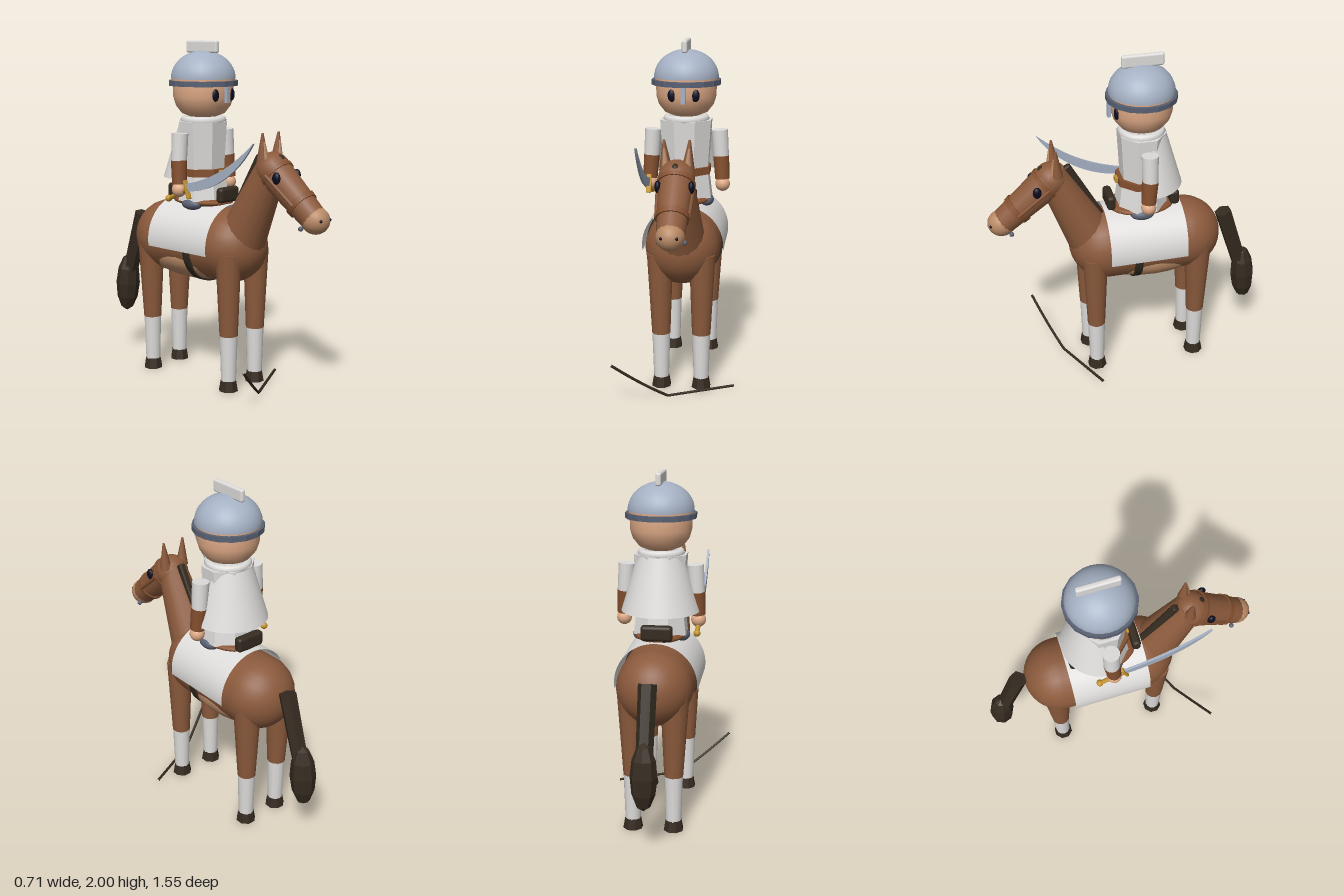
import * as THREE from 'three';
import { RoundedBoxGeometry } from 'three/addons/geometries/RoundedBoxGeometry.js';

const V = (x, y, z) => new THREE.Vector3(x, y, z);
const PI = Math.PI;

function material(name, color, side = THREE.FrontSide) {
  const m = new THREE.MeshStandardMaterial({ color, side });
  m.name = name;
  return m;
}

function flat(geo) {
  const g = geo.index ? geo.toNonIndexed() : geo;
  g.computeVertexNormals();
  return g;
}

function add(parent, name, geo, mat, x = 0, y = 0, z = 0) {
  const mesh = new THREE.Mesh(geo, mat);
  mesh.name = name;
  mesh.position.set(x, y, z);
  parent.add(mesh);
  return mesh;
}

function ball(parent, name, mat, p, rx, ry = rx, rz = rx) {
  const geo = new THREE.SphereGeometry(1, 20, 14).scale(rx, ry, rz);
  return add(parent, name, geo, mat, ...p);
}

// tapered cylinder running from a (radius ra) to b (radius rb)
function limb(parent, name, mat, a, b, ra, rb, sides = 16, faceted = false) {
  let geo = new THREE.CylinderGeometry(rb, ra, a.distanceTo(b), sides);
  if (faceted) geo = flat(geo.rotateY(PI / sides));
  const mesh = add(parent, name, geo, mat);
  mesh.position.lerpVectors(a, b, 0.5);
  mesh.quaternion.setFromUnitVectors(V(0, 1, 0), b.clone().sub(a).normalize());
  return mesh;
}

export function createModel() {
  const coat = material('chestnut coat', 0x8b5a3c);
  const dark = material('dark hair and hoof', 0x352b20);
  const white = material('white cloth', 0xdedddb, THREE.DoubleSide);
  const tan = material('pale tan', 0xb98a66);
  const skin = material('skin', 0xdfaa86);
  const steel = material('steel', 0xa5b1c4);
  const darkSteel = material('dark steel', 0x596173);
  const gold = material('brass', 0xc4932c);
  const black = material('eye black', 0x0c0d20);
  const leather = material('leather', 0x85502f);

  const model = new THREE.Group();
  model.name = 'mountedSoldier';
  const mount = new THREE.Group();
  mount.name = 'horseAndRider';
  mount.position.set(-0.045, 0, -0.085);
  mount.rotation.y = PI / 9;
  model.add(mount);
  const horse = new THREE.Group();
  horse.name = 'horse';
  const rider = new THREE.Group();
  rider.name = 'rider';
  mount.add(horse, rider);

  // barrel and belly
  add(horse, 'body', new THREE.CapsuleGeometry(0.215, 0.485, 10, 24).rotateX(PI / 2), coat, 0, 0.83, -0.025);
  ball(horse, 'belly', tan, [0, 0.742, -0.05], 0.2, 0.14, 0.38);

  // legs
  for (const s of [-1, 1]) for (const [end, z, top, r] of [['front', 0.303, 0.81, 0.076], ['hind', -0.32, 0.84, 0.084]]) {
    const x = s * 0.117;
    limb(horse, end + 'Leg', coat, V(x, 0.33, z), V(x * 1.04, top, z), 0.054, r, 12);
    limb(horse, end + 'Sock', white, V(x, 0.05, z), V(x, 0.335, z), 0.044, 0.053, 12);
    limb(horse, end + 'Hoof', dark, V(x, 0, z), V(x, 0.062, z), 0.058, 0.047, 8, true);
  }

  // neck, mane and tail
  limb(horse, 'neck', coat, V(0, 0.82, 0.27), V(0, 1.34, 0.53), 0.15, 0.085, 16);
  const mane = add(horse, 'mane', new RoundedBoxGeometry(0.04, 0.42, 0.045, 2, 0.012), dark, 0, 1.19, 0.335);
  mane.rotation.x = 0.51;
  limb(horse, 'tailDock', dark, V(0, 0.93, -0.515), V(0, 0.53, -0.645), 0.052, 0.047, 6, true);
  add(horse, 'tailTuft', flat(new THREE.SphereGeometry(1, 8, 6).scale(0.075, 0.19, 0.075)), dark, 0, 0.46, -0.665).rotation.x = 0.08;

  // head, laid along a sloping axis
  const poll = V(0, 1.3, 0.525), nose = V(0, 1.06, 0.81);
  limb(horse, 'horseHead', coat, poll, nose, 0.1, 0.076, 16);
  ball(horse, 'poll', coat, poll.toArray(), 0.1);
  ball(horse, 'muzzle', tan, [0, 1.053, 0.82], 0.077, 0.077, 0.082);
  const along = t => poll.clone().lerp(nose, t);
  limb(horse, 'noseband', leather, along(0.66), along(0.75), 0.092, 0.089, 16);
  limb(horse, 'browband', leather, along(0.08), along(0.14), 0.105, 0.103, 16);
  for (const s of [-1, 1]) {
    limb(horse, 'cheekStrap', leather, V(s * 0.098, 1.28, 0.55), V(s * 0.085, 1.13, 0.73), 0.012, 0.012, 6);
    ball(horse, 'horseEye', black, [s * 0.09, 1.27, 0.62], 0.018, 0.034, 0.025);
    ball(horse, 'nostril', black, [s * 0.04, 1.06, 0.885], 0.009);
    ball(horse, 'bitRing', darkSteel, [s * 0.07, 1.01, 0.775], 0.014);
    limb(horse, 'ear', coat, V(s * 0.06, 1.34, 0.5), V(s * 0.07, 1.505, 0.505), 0.037, 0.006, 8);
    limb(horse, 'innerEar', tan, V(s * 0.06, 1.355, 0.519), V(s * 0.068, 1.46, 0.515), 0.022, 0.006, 8);
  }
  ball(horse, 'forelock', dark, [0, 1.365, 0.555], 0.03, 0.025, 0.045);

  // saddle cloth, girth and saddle
  const cloth = new THREE.CylinderGeometry(0.236, 0.236, 0.46, 32, 1, true, PI / 2 - 0.15, PI + 0.3);
  add(horse, 'saddleCloth', cloth.rotateX(PI / 2), white, 0, 0.835, 0);
  add(horse, 'girth', new THREE.CylinderGeometry(0.227, 0.227, 0.045, 32).rotateX(PI / 2), dark, 0, 0.825, 0.06);
  ball(horse, 'saddleSeat', leather, [0, 1.075, 0], 0.15, 0.033, 0.2);
  add(horse, 'pommelRoll', new RoundedBoxGeometry(0.16, 0.088, 0.05, 3, 0.02), dark, 0, 1.125, 0.19);
  add(horse, 'cantleRoll', new RoundedBoxGeometry(0.18, 0.088, 0.055, 3, 0.02), dark, 0, 1.12, -0.185);

  // coat, belt and collar
  limb(rider, 'chest', white, V(0, 1.25, 0), V(0, 1.54, 0), 0.14, 0.16, 8, true).scale.z = 0.88;
  limb(rider, 'coatSkirt', white, V(0, 1.08, 0), V(0, 1.25, 0), 0.162, 0.14, 8, true).scale.z = 0.96;
  limb(rider, 'belt', leather, V(0, 1.225, 0), V(0, 1.268, 0), 0.152, 0.152, 8, true);
  add(rider, 'buckle', new RoundedBoxGeometry(0.045, 0.035, 0.02, 2, 0.005), gold, 0, 1.247, 0.147);
  const collar = new THREE.TorusGeometry(0.11, 0.025, 8, 24).rotateX(PI / 2);
  add(rider, 'collar', collar, white, 0, 1.545, 0);
  add(rider, 'cape', new THREE.CylinderGeometry(0.13, 0.225, 0.32, 24, 1, true, PI / 2 + 0.12, PI - 0.24), white, 0, 1.375, -0.01);

  // arms and legs
  for (const s of [-1, 1]) {
    limb(rider, 'sleeve', white, V(s * 0.205, 1.32, 0), V(s * 0.195, 1.48, 0), 0.046, 0.048, 14);
    limb(rider, 'forearm', leather, V(s * 0.213, 1.19, 0.01), V(s * 0.205, 1.325, 0), 0.042, 0.047, 14);
    ball(rider, 'hand', skin, [s * 0.215, 1.16, 0.01], 0.043);
    ball(rider, 'thigh', darkSteel, [s * 0.12, 1.065, 0.02], 0.045, 0.035, 0.07);
  }

  // head and face
  const face = [[0, 1.56], [0.07, 1.563], [0.125, 1.585], [0.16, 1.63], [0.175, 1.68], [0.176, 1.74], [0.172, 1.8]];
  add(rider, 'head', new THREE.LatheGeometry(face.map(p => new THREE.Vector2(...p)), 28), skin);
  for (const s of [-1, 1]) ball(rider, 'eye', black, [s * 0.067, 1.695, 0.158], 0.024, 0.036, 0.014);

  // helmet
  const dome = new THREE.SphereGeometry(0.188, 28, 12, 0, PI * 2, 0, PI / 2).scale(1, 0.85, 1);
  add(rider, 'helmetDome', dome, steel, 0, 1.783, 0);
  limb(rider, 'helmetRim', darkSteel, V(0, 1.743, 0), V(0, 1.773, 0), 0.202, 0.202, 16, true);
  limb(rider, 'helmetLining', skin, V(0, 1.77, 0), V(0, 1.785, 0), 0.183, 0.183, 28);
  add(rider, 'noseGuard', new THREE.BoxGeometry(0.026, 0.11, 0.018), steel, 0, 1.705, 0.186);
  add(rider, 'helmetCrest', new RoundedBoxGeometry(0.032, 0.072, 0.24, 3, 0.012), white, 0, 1.964, -0.005);

  // curved sabre, drawn in the z-y plane
  const blade = new THREE.Shape();
  blade.moveTo(0.07, 1.155);
  blade.bezierCurveTo(0.28, 1.17, 0.47, 1.3, 0.565, 1.465);
  blade.bezierCurveTo(0.43, 1.34, 0.28, 1.245, 0.07, 1.2);
  const bladeGeo = new THREE.ExtrudeGeometry(blade, { depth: 0.014, bevelEnabled: false, curveSegments: 14 });
  add(rider, 'sabreBlade', bladeGeo.translate(0, 0, -0.007).rotateY(-PI / 2), steel, -0.215, 0, 0);
  limb(rider, 'sabreGrip', gold, V(-0.215, 1.1, -0.07), V(-0.215, 1.172, 0.08), 0.013, 0.015, 8);
  ball(rider, 'sabrePommel', gold, [-0.215, 1.1, -0.075], 0.02);
  const guard = add(rider, 'sabreGuard', new RoundedBoxGeometry(0.03, 0.11, 0.018, 2, 0.006), gold, -0.215, 1.165, 0.072);
  guard.rotation.x = -0.3;

  // loose rein lying on the ground
  const rein = new THREE.CurvePath();
  rein.add(new THREE.QuadraticBezierCurve3(V(-0.17, 0.243, 0.626), V(-0.04, 0.1, 0.5), V(0.065, 0.012, 0.388)));
  rein.add(new THREE.LineCurve3(V(0.065, 0.012, 0.388), V(0.35, 0.012, 0.095)));
  rein.curves.forEach(c => add(model, 'rein', new THREE.TubeGeometry(c, 10, 0.008, 6), dark));
  return model;
}
